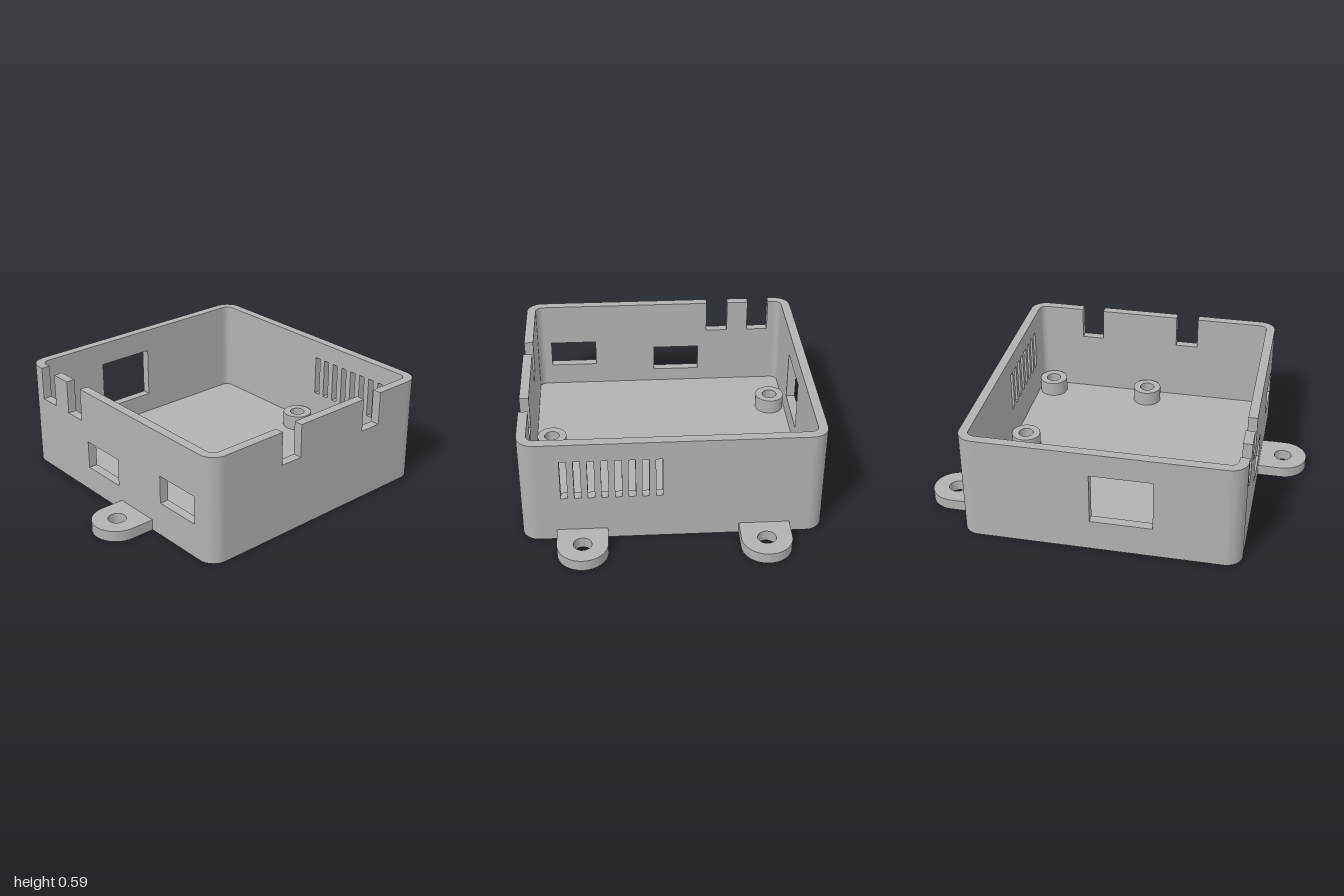
import * as THREE from 'three';
import { toCreasedNormals } from 'three/addons/utils/BufferGeometryUtils.js';

const TOP = 0.59, FLOOR = 0.06, WALL = 0.05, RADIUS = 0.09;
const X = 0.785, BACK = -0.745, FRONT = 0.74; // outer faces of the box

export function createModel() {
  const group = new THREE.Group();
  const grey = new THREE.MeshStandardMaterial({ color: 0xb2b2b2 });
  grey.name = 'grey plastic';

  const add = (name, geometry, x, y, z, turn = 0) => {
    const mesh = new THREE.Mesh(geometry, grey);
    mesh.name = name;
    mesh.position.set(x, y, z);
    mesh.rotation.y = turn;
    group.add(mesh);
  };

  // Extrudes a plan shape (shape y points to -z) upwards
  const slab = (shape, height) => {
    const g = new THREE.ExtrudeGeometry(shape, { depth: height, bevelEnabled: false, curveSegments: 16 });
    return toCreasedNormals(g.rotateX(-Math.PI / 2), 0.6);
  };
  const circle = (r) => new THREE.Path().absarc(0, 0, r, 0, Math.PI * 2, true);

  // Upright wall from u0 to u1; notches [a, b, bottom] are open at the top, windows are [a, b, bottom, top]
  const wall = (u0, u1, notches, windows) => {
    const s = new THREE.Shape();
    s.moveTo(u0, FLOOR).lineTo(u1, FLOOR).lineTo(u1, TOP);
    for (const [a, b, y] of [...notches].sort((p, q) => q[0] - p[0])) {
      s.lineTo(b, TOP).lineTo(b, y).lineTo(a, y).lineTo(a, TOP);
    }
    s.lineTo(u0, TOP);
    s.closePath();
    for (const [a, b, y0, y1] of windows) {
      const hole = new THREE.Path();
      hole.moveTo(a, y0).lineTo(a, y1).lineTo(b, y1).lineTo(b, y0).closePath();
      s.holes.push(hole);
    }
    return new THREE.ExtrudeGeometry(s, { depth: WALL, bevelEnabled: false });
  };

  // Floor with rounded corners
  const cx = X - RADIUS, cBack = BACK + RADIUS, cFront = FRONT - RADIUS;
  const plan = new THREE.Shape();
  plan.absarc(cx, -cBack, RADIUS, 0, Math.PI / 2);
  plan.absarc(-cx, -cBack, RADIUS, Math.PI / 2, Math.PI);
  plan.absarc(-cx, -cFront, RADIUS, Math.PI, Math.PI * 1.5);
  plan.absarc(cx, -cFront, RADIUS, Math.PI * 1.5, Math.PI * 2);
  add('floor', slab(plan, FLOOR), 0, 0, 0);

  // Rounded wall corners
  const quarter = new THREE.Shape();
  quarter.absarc(0, 0, RADIUS, 0, Math.PI / 2);
  quarter.absarc(0, 0, RADIUS - WALL, Math.PI / 2, 0, true);
  quarter.closePath();
  const corner = slab(quarter, TOP - FLOOR);
  [[cx, cBack], [-cx, cBack], [-cx, cFront], [cx, cFront]].forEach(([x, z], i) =>
    add('wallCorner', corner, x, FLOOR, z, i * Math.PI / 2));

  // Front wall: two cable notches and two port windows
  add('frontWall', wall(-cx, cx,
    [[-0.66, -0.537, 0.405], [-0.415, -0.29, 0.405]],
    [[-0.24, 0.03, 0.14, 0.295], [0.387, 0.655, 0.19, 0.345]]), 0, 0, FRONT - WALL);

  // Back wall: row of vent slots
  const slots = [];
  for (let i = 0; i < 8; i++) {
    const x = 0.558 - i * 0.0695;
    slots.push([x - 0.0175, x + 0.0175, 0.26, 0.487]);
  }
  add('backWall', wall(-cx, cx, [], slots), 0, 0, BACK);

  // Side walls, drawn along u = -z
  add('leftWall', wall(-cFront, -cBack, [[-0.277, -0.148, 0.405], [0.305, 0.432, 0.405]], []),
    X - WALL, 0, 0, Math.PI / 2);
  add('rightWall', wall(-cFront, -cBack, [], [[-0.28, 0.05, 0.175, 0.46]]), -X, 0, 0, Math.PI / 2);

  // Screw posts standing on the floor
  const ring = new THREE.Shape().absarc(0, 0, 0.082, 0, Math.PI * 2);
  ring.holes.push(circle(0.042));
  const post = slab(ring, 0.145 - FLOOR);
  for (const [x, z] of [[0, -0.607], [0.645, -0.607], [0.645, -0.013], [-0.645, 0.355]]) {
    add('screwPost', post, x, FLOOR, z);
  }

  // Mounting tabs with screw holes
  const tabShape = (reach) => {
    const s = new THREE.Shape();
    s.moveTo(-0.132, -reach).lineTo(0.132, -reach);
    s.absarc(0, 0, 0.132, 0, Math.PI);
    s.closePath();
    s.holes.push(circle(0.048));
    return s;
  };
  const backTab = slab(tabShape(0.868 + BACK), FLOOR);
  for (const x of [-0.472, 0.472]) add('mountingTab', backTab, x, 0, -0.868);
  add('mountingTab', slab(tabShape(0.868 - FRONT), FLOOR), 0.183, 0, 0.868, Math.PI);

  return group;
}
